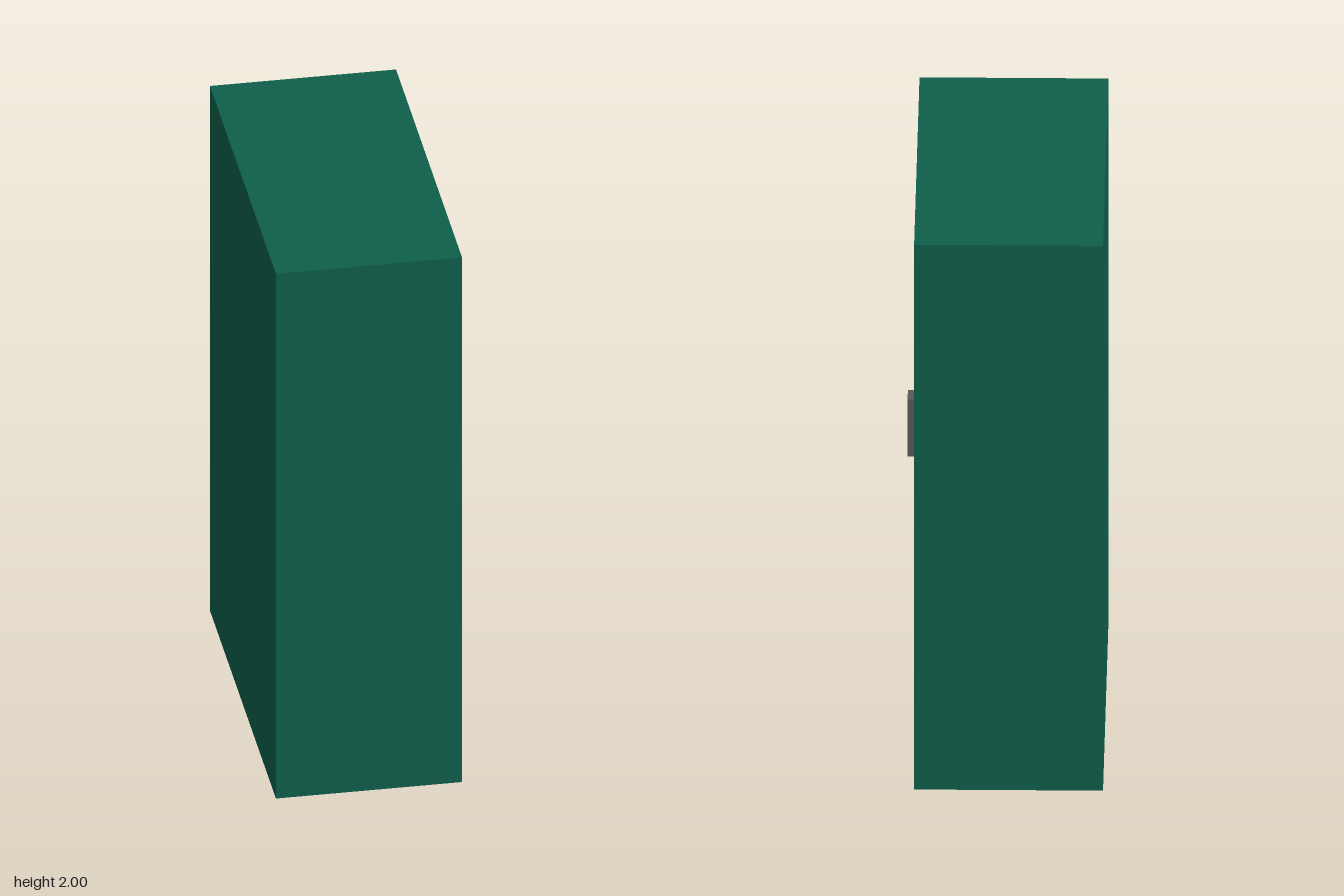
import * as THREE from 'three';

const FRONT = 0.3; // x of the display face

const material = (color) => new THREE.MeshStandardMaterial({ color });

// Box between two corners, without its +x side; inward turns the faces to the inside
function openBox(x0, x1, y0, y1, z0, z1, inward) {
  const g = new THREE.BoxGeometry(x1 - x0, y1 - y0, z1 - z0);
  g.translate((x0 + x1) / 2, (y0 + y1) / 2, (z0 + z1) / 2);
  const index = Array.from(g.index.array).slice(6);
  g.setIndex(inward ? index.reverse() : index);
  const flat = g.toNonIndexed();
  flat.computeVertexNormals();
  return flat;
}

// Rectangle in the display face, drawn with shape x = -z
function rectangle(path, { y0, y1, z0, z1 }) {
  path.moveTo(-z1, y0);
  path.lineTo(-z0, y0);
  path.lineTo(-z0, y1);
  path.lineTo(-z1, y1);
  path.closePath();
  return path;
}

export function createModel() {
  const model = new THREE.Group();
  model.name = 'vendingMachine';
  const green = material(0x0f5f4b);
  const grey = material(0xcccccc);
  const dark = material(0x595959);

  const add = (name, geometry, mat) => {
    const mesh = new THREE.Mesh(geometry, mat);
    mesh.name = name;
    model.add(mesh);
  };

  const cabinet = { y0: 0, y1: 2, z0: -0.625, z1: 0.625 };
  const recesses = [
    { name: 'displayRecess', y0: 0.35, y1: 1.9, z0: -0.42, z1: 0.55, depth: 0.25, mat: grey },
    { name: 'dispenserTray', y0: 0.05, y1: 0.31, z0: -0.31, z1: 0.43, depth: 0.19, mat: dark },
  ];

  // Cabinet shell
  add('cabinet', openBox(-0.3225, FRONT, cabinet.y0, cabinet.y1, cabinet.z0, cabinet.z1, false), green);

  // Display face with its two openings
  const face = rectangle(new THREE.Shape(), cabinet);
  for (const r of recesses) face.holes.push(rectangle(new THREE.Path(), r));
  add('displayFace', new THREE.ShapeGeometry(face).rotateY(Math.PI / 2).translate(FRONT, 0, 0), green);

  // Linings of the openings
  for (const r of recesses) {
    add(r.name, openBox(FRONT - r.depth, FRONT, r.y0, r.y1, r.z0, r.z1, true), r.mat);
  }

  // Payment panel
  add('paymentPanel', new THREE.BoxGeometry(0.0225, 0.21, 0.07).translate(0.31125, 1.295, -0.525), dark);

  return model;
}
